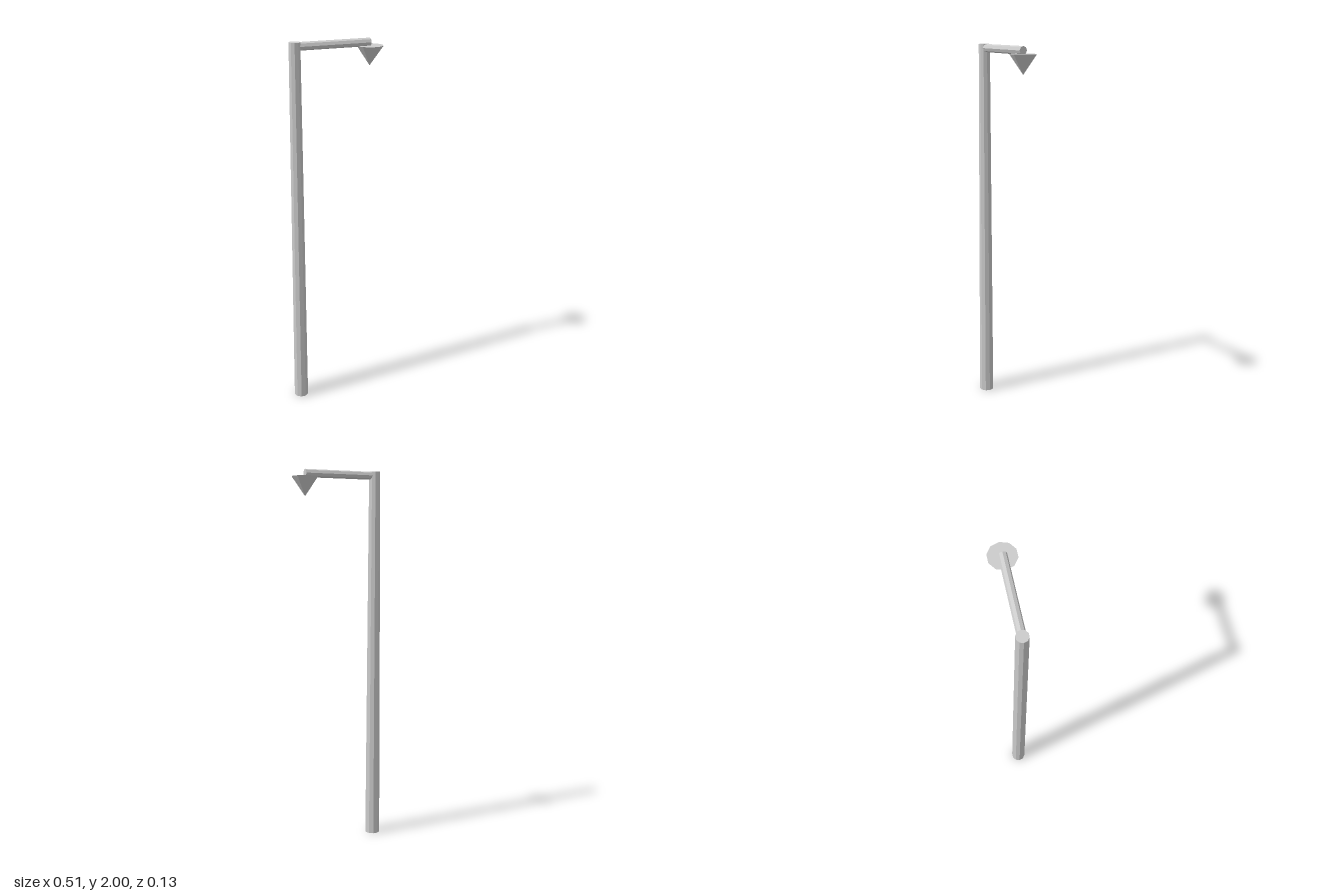
import * as THREE from 'three';

const material = new THREE.MeshStandardMaterial({ color: 0xcccccc, flatShading: true });

function addPart(group, name, geometry, x, y) {
  const mesh = new THREE.Mesh(geometry, material);
  mesh.name = name;
  mesh.position.set(x, y, 0);
  group.add(mesh);
}

export function createModel() {
  const group = new THREE.Group();
  group.name = 'streetLamp';
  const poleX = -0.215, lampX = 0.185, armRadius = 0.021;

  // Tapered ten-sided pole, with a corner pointing along x
  const pole = new THREE.CylinderGeometry(0.03, 0.04, 2, 10).rotateY(Math.PI / 2);
  addPart(group, 'pole', pole, poleX, 1);

  // Eight-sided arm, its top edge level with the pole top
  const arm = new THREE.CylinderGeometry(armRadius, armRadius, lampX - poleX, 8).rotateZ(Math.PI / 2);
  addPart(group, 'arm', arm, (poleX + lampX) / 2, 2 - armRadius);

  // Lamp head: a cone pointing down, hung under the arm's end
  const lamp = new THREE.ConeGeometry(0.07, 0.1, 10).rotateX(Math.PI).rotateY(Math.PI / 2);
  addPart(group, 'lampHead', lamp, lampX, 1.912);

  return group;
}
